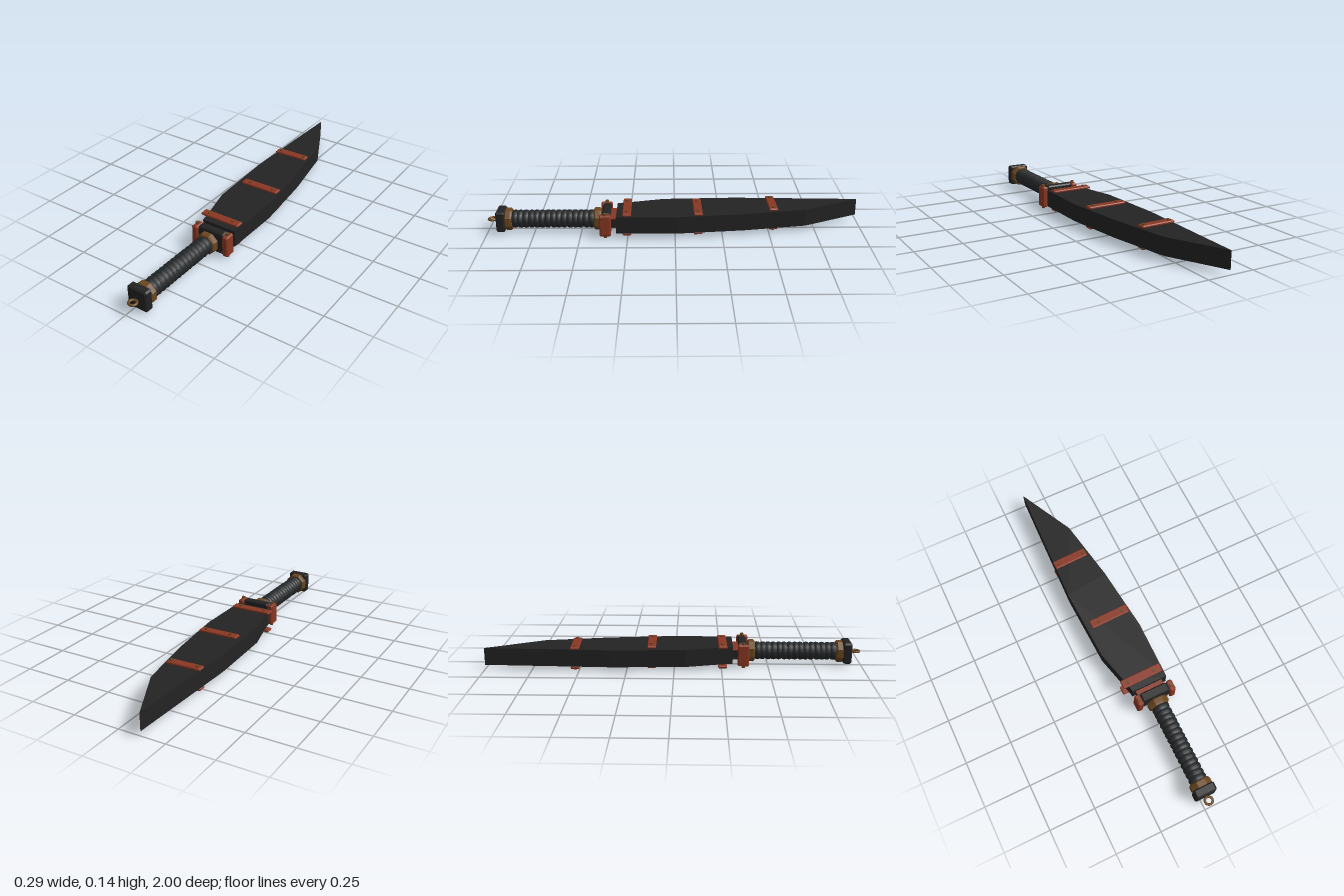
import * as THREE from 'three';

const mat = (name, color) => Object.assign(new THREE.MeshStandardMaterial({ color }), { name });

export function createModel() {
  const blackSteel = mat('blackSteel', 0x232323);
  const gripBlack = mat('gripBlack', 0x25282a);
  const red = mat('rustRed', 0x8a3723);
  const bronze = mat('bronze', 0x6b4720);
  const model = new THREE.Group();
  const CX = 0.028, CY = 0.07; // handle axis

  const add = (name, geometry, material, x = 0, y = 0, z = 0, parent = model) => {
    const mesh = new THREE.Mesh(geometry, material);
    mesh.name = name;
    mesh.position.set(x, y, z);
    parent.add(mesh);
    return mesh;
  };

  // Box with chamfered edges, centred on the origin
  const chamferBox = (w, h, d, b) => {
    const s = new THREE.Shape();
    const x = w / 2 - b, y = h / 2 - b, c = b * 0.6;
    s.moveTo(-x + c, -y).lineTo(x - c, -y).lineTo(x, -y + c).lineTo(x, y - c);
    s.lineTo(x - c, y).lineTo(-x + c, y).lineTo(-x, y - c).lineTo(-x, -y + c);
    return new THREE.ExtrudeGeometry(s, {
      depth: d - 2 * b, bevelEnabled: true, bevelSize: b, bevelThickness: b, bevelSegments: 1,
    }).translate(0, 0, -d / 2 + b);
  };

  // Blade: thick flat slab, outline in x and z
  const outline = [
    [-0.12, -1], [0.03, -0.7], [0.09, -0.36], [0.128, -0.01], [0.125, 0.31],
    [-0.07, 0.31], [-0.085, 0.24], [-0.13, 0.06], [-0.145, -0.33],
  ].map(([x, z]) => new THREE.Vector2(x, -z));
  const blade = new THREE.ExtrudeGeometry(new THREE.Shape(outline), { depth: 0.093, bevelEnabled: false });
  add('blade', blade.rotateX(-Math.PI / 2), blackSteel, 0, 0.0245, 0);

  // Straps on both faces of the blade, each with two rivets
  const rivetGeo = new THREE.CylinderGeometry(0.009, 0.01, 0.012, 8);
  for (const [x, z, width, turn, r1, r2] of [
    [-0.046, -0.523, 0.19, 0.03, -0.07, 0.076],
    [0.0, -0.12, 0.22, 0.02, -0.065, 0.075],
    [0.006, 0.255, 0.228, 0.01, -0.075, 0.07],
  ]) {
    for (const side of [1, -1]) {
      const strap = new THREE.Group();
      strap.name = side > 0 ? 'upperStrap' : 'lowerStrap';
      strap.position.set(x, CY + side * 0.053, z);
      strap.rotation.y = turn;
      add('strapPlate', chamferBox(width, 0.014, 0.046, 0.004), red, 0, 0, 0, strap);
      for (const r of [r1, r2]) {
        add('strapRivet', rivetGeo, bronze, r, side * 0.007, 0, strap).rotation.x = side > 0 ? 0 : Math.PI;
      }
      model.add(strap);
    }
  }

  // Neck between blade and guard
  add('neck', new THREE.BoxGeometry(0.15, 0.046, 0.06), blackSteel, 0.022, CY, 0.325);
  for (const side of [1, -1]) {
    add('neckPlate', new THREE.BoxGeometry(0.15, 0.004, 0.04), red, 0.022, CY + side * 0.025, 0.322);
  }

  // Guard: core, bars above and below, red end blocks with rivets
  add('guardCore', new THREE.BoxGeometry(0.16, 0.08, 0.036), blackSteel, 0.03, CY, 0.365);
  for (const side of [1, -1]) {
    add('guardBar', chamferBox(0.155, 0.026, 0.045, 0.007), blackSteel, 0.03, CY + side * 0.048, 0.362);
    const end = add('guardEnd', chamferBox(0.033, 0.116, 0.06, 0.006), red, 0.03 + side * 0.093, CY, 0.367);
    end.rotation.z = side * 0.02;
    for (const up of [1, -1]) {
      const rivet = add('guardRivet', rivetGeo, bronze, 0.03 + side * 0.093, CY + up * 0.063, 0.367);
      rivet.rotation.x = up > 0 ? 0 : Math.PI;
    }
  }

  // Grip with slightly tilted wrapping
  add('gripCore', new THREE.CylinderGeometry(0.042, 0.042, 0.47, 16).rotateX(Math.PI / 2), gripBlack, CX, CY, 0.65);
  const wrapProfile = [[0.04, -0.016], [0.046, -0.011], [0.049, 0], [0.046, 0.011], [0.04, 0.016]]
    .map(([r, y]) => new THREE.Vector2(r, y));
  const wrapGeo = new THREE.LatheGeometry(wrapProfile, 16).rotateX(Math.PI / 2);
  for (let i = 0; i < 15; i++) {
    const wrap = add('gripWrap', wrapGeo, gripBlack, CX, CY, 0.445 + i * 0.029);
    wrap.rotation.set(0.06 * Math.sin(i * 2.1), 0.08 * Math.cos(i * 1.7), 0);
  }

  // Eight-sided bronze collars at both ends of the grip
  const collarShape = [[0, -0.02], [0.053, -0.02], [0.06, -0.012], [0.06, 0.012], [0.053, 0.02], [0, 0.02]]
    .map(([r, y]) => new THREE.Vector2(r, y));
  const collarGeo = new THREE.LatheGeometry(collarShape, 8, Math.PI / 8).toNonIndexed().rotateX(Math.PI / 2);
  collarGeo.computeVertexNormals();
  add('frontCollar', collarGeo, bronze, CX, CY, 0.411);
  add('rearCollar', collarGeo, bronze, CX, CY, 0.885);

  // Pommel block and lanyard ring
  add('pommel', chamferBox(0.114, 0.114, 0.046, 0.007), blackSteel, CX, CY, 0.924);
  const ring = new THREE.TorusGeometry(0.02, 0.0065, 8, 16).rotateX(Math.PI / 2);
  add('lanyardRing', ring, bronze, CX, CY, 0.9735);

  return model;
}
